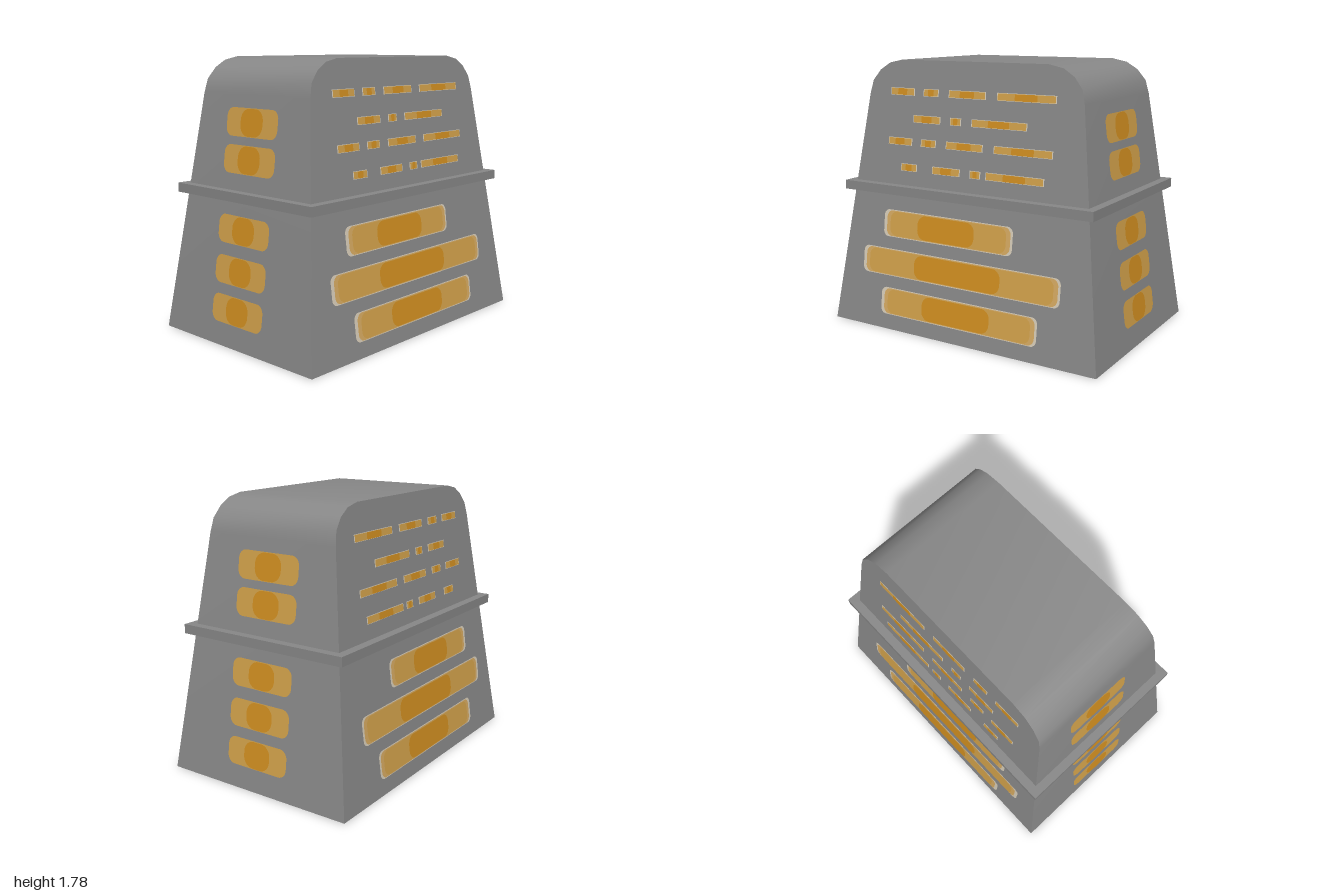
import * as THREE from 'three';
import { toCreasedNormals } from 'three/addons/utils/BufferGeometryUtils.js';

// Half width and half depth of the tapering body at height y
const halfX = (y) => 1 - 0.13 * y;
const halfZ = (y) => 0.675 - 0.127 * y;

function material(name, color) {
  const m = new THREE.MeshStandardMaterial({ color });
  m.name = name;
  return m;
}

// Rectangle with rounded corners, from (a, y0) to (b, y1)
function roundedRect(a, b, y0, y1, r) {
  const s = new THREE.Shape();
  const corner = (x, y, start) => s.absarc(x, y, r, start, start + Math.PI / 2, false);
  if (r <= 0) {
    s.moveTo(a, y0).lineTo(b, y0).lineTo(b, y1).lineTo(a, y1);
    return s;
  }
  corner(b - r, y0 + r, -Math.PI / 2);
  corner(b - r, y1 - r, 0);
  corner(a + r, y1 - r, Math.PI / 2);
  corner(a + r, y0 + r, Math.PI);
  return s;
}

// Faces of the body: turn about y, taper rule, and whether u is mirrored
const FACES = {
  front: { turn: 0, half: halfZ, flip: 1 },
  back: { turn: Math.PI, half: halfZ, flip: -1 },
  left: { turn: Math.PI / 2, half: halfX, flip: 1 },
  right: { turn: -Math.PI / 2, half: halfX, flip: 1 },
};

export function createModel() {
  const grey = material('wall grey', 0x888888);
  const pale = material('pale window edge', 0xd6ccb8);
  const light = material('light amber', 0xd4a860);
  const amber = material('amber', 0xd0a04a);
  const glow = material('deep orange', 0xcf8d20);

  const model = new THREE.Group();
  model.name = 'building';

  // Tapered body with a rounded roof
  const side = [[1, 0], [0.798, 1.556], [0.777, 1.642], [0.72, 1.712], [0.645, 1.759], [0.545, 1.78]];
  const outline = [...side, ...side.map(([x, y]) => [-x, y]).reverse()];
  const shape = new THREE.Shape(outline.map(([x, y]) => new THREE.Vector2(x, y)));
  let bodyGeo = new THREE.ExtrudeGeometry(shape, { depth: 1, bevelEnabled: false });
  const p = bodyGeo.attributes.position;
  for (let i = 0; i < p.count; i++) {
    p.setZ(i, (p.getZ(i) > 0.5 ? 1 : -1) * halfZ(p.getY(i)));
  }
  bodyGeo = toCreasedNormals(bodyGeo, 0.6);
  const body = new THREE.Mesh(bodyGeo, grey);
  body.name = 'body';
  model.add(body);

  // Ledge around the middle
  const ledge = new THREE.Mesh(new THREE.BoxGeometry(1.86, 0.06, 1.22), grey);
  ledge.position.y = 0.94;
  ledge.name = 'ledge';
  model.add(ledge);

  // One flat layer lying on a sloping face
  function layer(face, a, b, y0, y1, r, level, mat) {
    const { turn, half, flip } = FACES[face];
    const [u0, u1] = flip > 0 ? [a, b] : [-b, -a];
    const geo = new THREE.ShapeGeometry(roundedRect(u0, u1, y0, y1, r), 4);
    const q = geo.attributes.position;
    for (let i = 0; i < q.count; i++) q.setZ(i, half(q.getY(i)) + 0.002 * level);
    geo.rotateY(turn);
    geo.computeVertexNormals();
    return new THREE.Mesh(geo, mat);
  }

  function addWindow(name, layers) {
    const g = new THREE.Group();
    g.name = name;
    g.add(...layers);
    model.add(g);
  }

  // Long windows: left, right, bottom, top, then the glowing core
  const longWindows = [
    [-0.62, 0.38, 0.62, 0.8, -0.34, 0.1],
    [-0.78, 0.73, 0.36, 0.54, -0.35, 0.31],
    [-0.61, 0.59, 0.1, 0.28, -0.27, 0.25],
  ];
  // Slot rows: centre height, then left and right ends
  const wideRow = [[-0.62, -0.425], [-0.355, -0.235], [-0.157, 0.123], [0.203, 0.617]];
  const slotRows = [
    [1.576, wideRow],
    [1.405, [[-0.425, -0.21], [-0.135, -0.05], [0.027, 0.43]]],
    [1.254, wideRow],
    [1.088, [[-0.505, -0.375], [-0.253, -0.037], [0.037, 0.117], [0.155, 0.57]]],
  ];

  for (const face of ['front', 'back']) {
    for (const [a, b, y0, y1, c0, c1] of longWindows) {
      addWindow(face + 'LongWindow', [
        layer(face, a, b, y0, y1, 0.04, 1, pale),
        layer(face, a + 0.025, b - 0.015, y0 + 0.005, y1 - 0.005, 0.045, 2, light),
        layer(face, a + 0.055, b - 0.045, y0 + 0.01, y1 - 0.01, 0.05, 3, amber),
        layer(face, c0, c1, y0 + 0.012, y1 - 0.012, 0.06, 4, glow),
      ]);
    }
    for (const [y, slots] of slotRows) {
      for (const [a, b] of slots) {
        const w = b - a;
        addWindow(face + 'Slot', [
          layer(face, a, b, y - 0.024, y + 0.024, 0, 1, pale),
          layer(face, a + 0.006, b - 0.006, y - 0.021, y + 0.021, 0, 2, amber),
          layer(face, a + 0.31 * w, b - 0.31 * w, y - 0.021, y + 0.021, 0.008, 3, glow),
        ]);
      }
    }
  }

  // Short windows stacked on both ends
  for (const face of ['left', 'right']) {
    for (const y of [0.233, 0.477, 0.73, 1.162, 1.389]) {
      addWindow(face + 'Window', [
        layer(face, -0.23, 0.23, y - 0.088, y + 0.088, 0.055, 1, amber),
        layer(face, -0.1, 0.1, y - 0.084, y + 0.084, 0.07, 2, glow),
      ]);
    }
  }

  return model;
}
